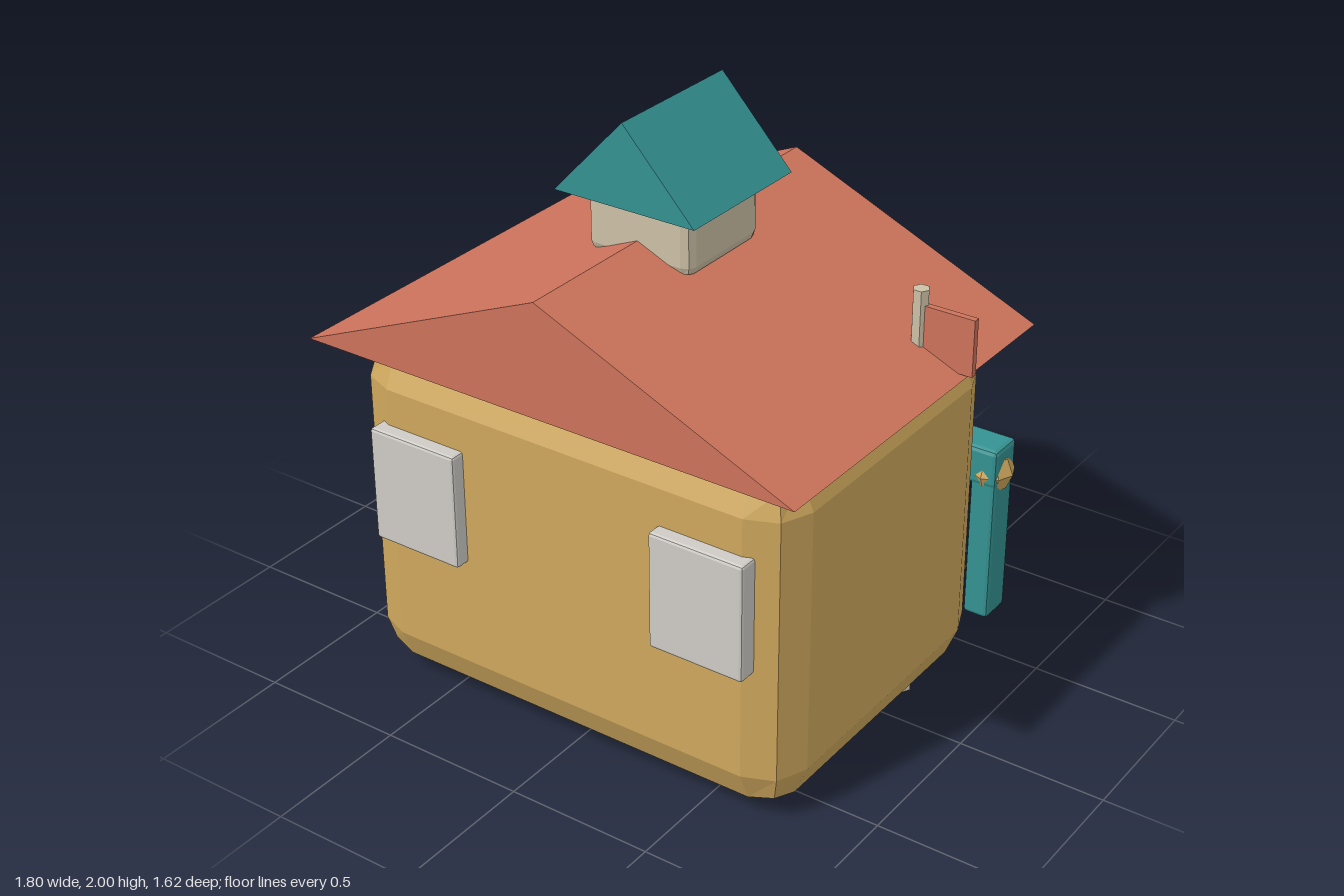
import * as THREE from 'three';
import { RoundedBoxGeometry } from 'three/addons/geometries/RoundedBoxGeometry.js';

const mat = (name, color) => {
  const m = new THREE.MeshStandardMaterial({ color });
  m.name = name;
  return m;
};

export function createModel() {
  const house = new THREE.Group();
  house.name = 'house';

  const tan = mat('tan', 0xcfa85d);
  const salmon = mat('salmon', 0xcd735b);
  const teal = mat('teal', 0x359292);
  const stone = mat('stone', 0xcdc1a6);
  const trim = mat('pale grey trim', 0xcfccc6);
  const glass = mat('pale blue glass', 0x86bbc0);
  const navy = mat('door blue', 0x365f78);

  const CX = -0.013; // middle of the building

  // Adds a mesh with one normal per face
  const add = (name, geometry, material, x = 0, y = 0, z = 0) => {
    const g = geometry.index ? geometry.toNonIndexed() : geometry;
    g.computeVertexNormals();
    const mesh = new THREE.Mesh(g, material);
    mesh.name = name;
    mesh.position.set(x, y, z);
    house.add(mesh);
    return mesh;
  };

  // Chamfered box given by its lowest and highest corners
  const block = (name, material, [x0, y0, z0], [x1, y1, z1], radius) => add(
    name, new RoundedBoxGeometry(x1 - x0, y1 - y0, z1 - z0, 1, radius), material,
    (x0 + x1) / 2, (y0 + y1) / 2, (z0 + z1) / 2);

  // Gable roof with its ridge along z
  const gable = (name, material, half, y0, y1, z0, z1) => {
    const s = new THREE.Shape();
    s.moveTo(-half, 0);
    s.lineTo(half, 0);
    s.lineTo(0, y1 - y0);
    s.closePath();
    const g = new THREE.ExtrudeGeometry(s, { depth: z1 - z0, bevelEnabled: false });
    return add(name, g, material, CX, y0, z0);
  };

  // Walls and main roof
  block('walls', tan, [-0.821, 0.03, -0.469], [0.795, 1.22, 0.724], 0.145);
  gable('mainRoof', salmon, 0.89, 1.22, 1.6, -0.555, 0.808);

  // Roof turret
  block('turret', stone, [-0.203, 1.517, -0.063], [0.177, 1.727, 0.31], 0.035);
  gable('turretRoof', teal, 0.255, 1.727, 2, -0.132, 0.379);

  // Tapered chimney behind the turret
  const chimney = add('chimney', new THREE.CylinderGeometry(0.054, 0.098, 0.2, 12),
    tan, CX, 1.67, -0.103);
  chimney.rotation.y = Math.PI / 12;

  // Flag on a hexagonal pole
  const pole = add('flagPole', new THREE.CylinderGeometry(0.0275, 0.0275, 1.445, 6),
    stone, 0.708, 0.7475, -0.132);
  pole.rotation.y = Math.PI / 6;
  add('flag', new THREE.BoxGeometry(0.18, 0.19, 0.022), salmon, 0.81, 1.325, -0.132);

  // Windows, front and back
  for (const side of [-1, 1]) {
    const x = CX + side * 0.532;
    block('frontWindow', trim, [x - 0.166, 0.553, 0.7], [x + 0.166, 0.95, 0.773], 0.01);
    block('backWindowFrame', trim, [x - 0.166, 0.553, -0.525], [x + 0.166, 0.95, -0.45], 0.01);
    block('backWindowPane', glass, [x - 0.133, 0.588, -0.547], [x + 0.133, 0.917, -0.515], 0.006);
  }

  // Back door
  block('doorFrame', trim, [CX - 0.19, 0.005, -0.53], [CX + 0.19, 0.665, -0.45], 0.012);
  block('door', navy, [CX - 0.142, 0.037, -0.553], [CX + 0.142, 0.63, -0.515], 0.008);
  block('doorKnob', tan, [0.053, 0.31, -0.573], [0.097, 0.356, -0.54], 0.006);

  // Gateway: crossbeam, posts and faceted knobs at the joints
  const GZ = -0.686;
  block('gateBeam', teal, [CX - 0.757, 0.54, GZ - 0.067], [CX + 0.757, 0.68, GZ + 0.067], 0.016);
  for (const side of [-1, 1]) {
    const x = CX + side * 0.707;
    block('gatePost', teal, [x - 0.046, 0.03, GZ - 0.062], [x + 0.046, 0.6, GZ + 0.062], 0.014);
    add('gateKnob', new THREE.SphereGeometry(0.078, 8, 4), tan, x, 0.575, GZ);
  }

  // Sign board with two slightly tilted plaques
  block('signBoard', trim, [CX - 0.233, 0.518, -0.785], [CX + 0.233, 0.754, -0.74], 0.01);
  for (const [side, material] of [[-1, glass], [1, salmon]]) {
    const x = CX + side * 0.096;
    const plaque = block('signPlaque', material,
      [x - 0.087, 0.559, -0.808], [x + 0.087, 0.717, -0.775], 0.006);
    plaque.rotation.z = 0.1;
  }

  return house;
}
